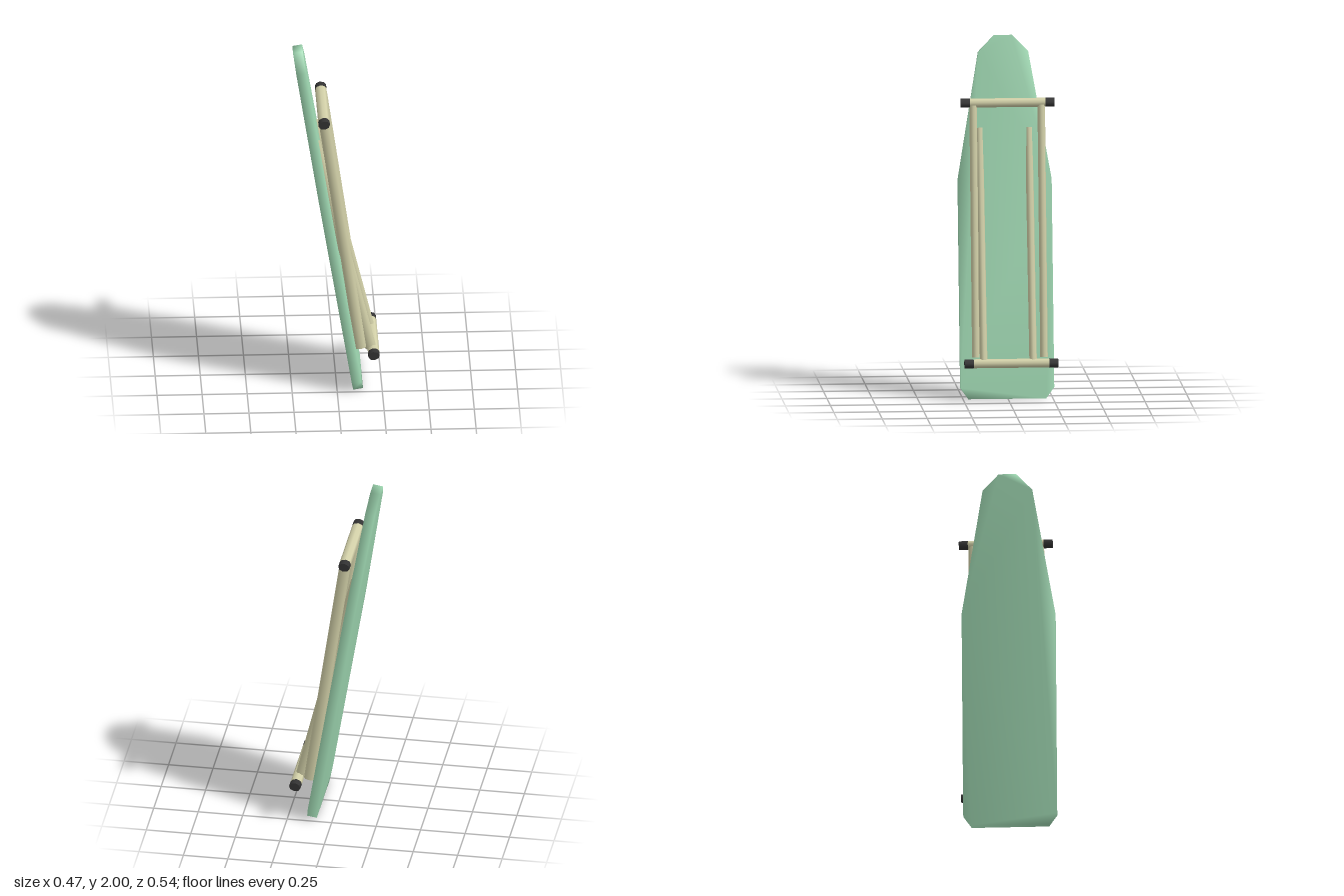
import * as THREE from 'three';
import { mergeVertices } from 'three/addons/utils/BufferGeometryUtils.js';

const green = new THREE.MeshStandardMaterial({ color: 0x9fd8b2 });
const cream = new THREE.MeshStandardMaterial({ color: 0xd2d0a8 });
const black = new THREE.MeshStandardMaterial({ color: 0x333333 });
const TILT = 0.163;

function addMesh(parent, name, geometry, material) {
  const mesh = new THREE.Mesh(geometry, material);
  mesh.name = name;
  parent.add(mesh);
  return mesh;
}

// Tapered board top, leaning back, softly shaded over its rim
function buildBoard(group) {
  const half = [[0.215, 0], [0.26, 0.062], [0.26, 1.217], [0.138, 1.926], [0.048, 2.018]];
  const outline = [...half, ...half.map(([w, y]) => [-w, y]).reverse()];
  const shape = new THREE.Shape(outline.map(([x, y]) => new THREE.Vector2(x, y)));
  let geometry = new THREE.ExtrudeGeometry(shape, { depth: 0.055, bevelEnabled: false });
  geometry.deleteAttribute('normal');
  geometry.deleteAttribute('uv');
  geometry = mergeVertices(geometry);
  geometry.computeVertexNormals();
  geometry.rotateY(Math.PI / 2);
  const board = addMesh(group, 'board', geometry, green);
  board.rotation.z = TILT;
  board.position.set(0.09, 0, 0.006);
}

// Oval eight-sided leg between two points at one depth
function buildLeg(group, name, [x0, y0], [x1, y1], z) {
  const geometry = new THREE.CylinderGeometry(1, 1, Math.hypot(x1 - x0, y1 - y0), 8);
  geometry.scale(0.031, 1, 0.021);
  const leg = addMesh(group, name, geometry, cream);
  leg.position.set((x0 + x1) / 2, (y0 + y1) / 2, z);
  leg.rotation.z = Math.atan2(x0 - x1, y1 - y0);
}

// Crossbar with a dark rubber foot at each end
function buildCrossbar(group, name, x, y) {
  const bar = new THREE.Group();
  bar.name = name;
  bar.position.set(x, y, -0.01);
  bar.rotation.z = TILT;
  const piece = (label, z0, z1, material) => {
    const geometry = new THREE.CylinderGeometry(1, 1, z1 - z0, 8);
    geometry.rotateX(Math.PI / 2).scale(0.032, 0.025, 1).translate(0, 0, (z0 + z1) / 2);
    addMesh(bar, label, geometry, material);
  };
  piece('rod', -0.21, 0.21, cream);
  piece('rearFoot', -0.26, -0.21, black);
  piece('frontFoot', 0.21, 0.26, black);
  group.add(bar);
}

export function createModel() {
  const group = new THREE.Group();
  group.name = 'ironingBoard';
  buildBoard(group);
  buildCrossbar(group, 'upperCrossbar', -0.072, 1.637);
  buildCrossbar(group, 'lowerCrossbar', 0.204, 0.217);
  // Outer legs hang from the upper bar, inner legs rise from the lower bar
  for (const z of [0.182, -0.197]) buildLeg(group, 'outerLeg', [0.133, 0.24], [-0.069, 1.625], z);
  for (const z of [0.143, -0.132]) buildLeg(group, 'innerLeg', [0.191, 0.22], [-0.121, 1.488], z);
  return group;
}
